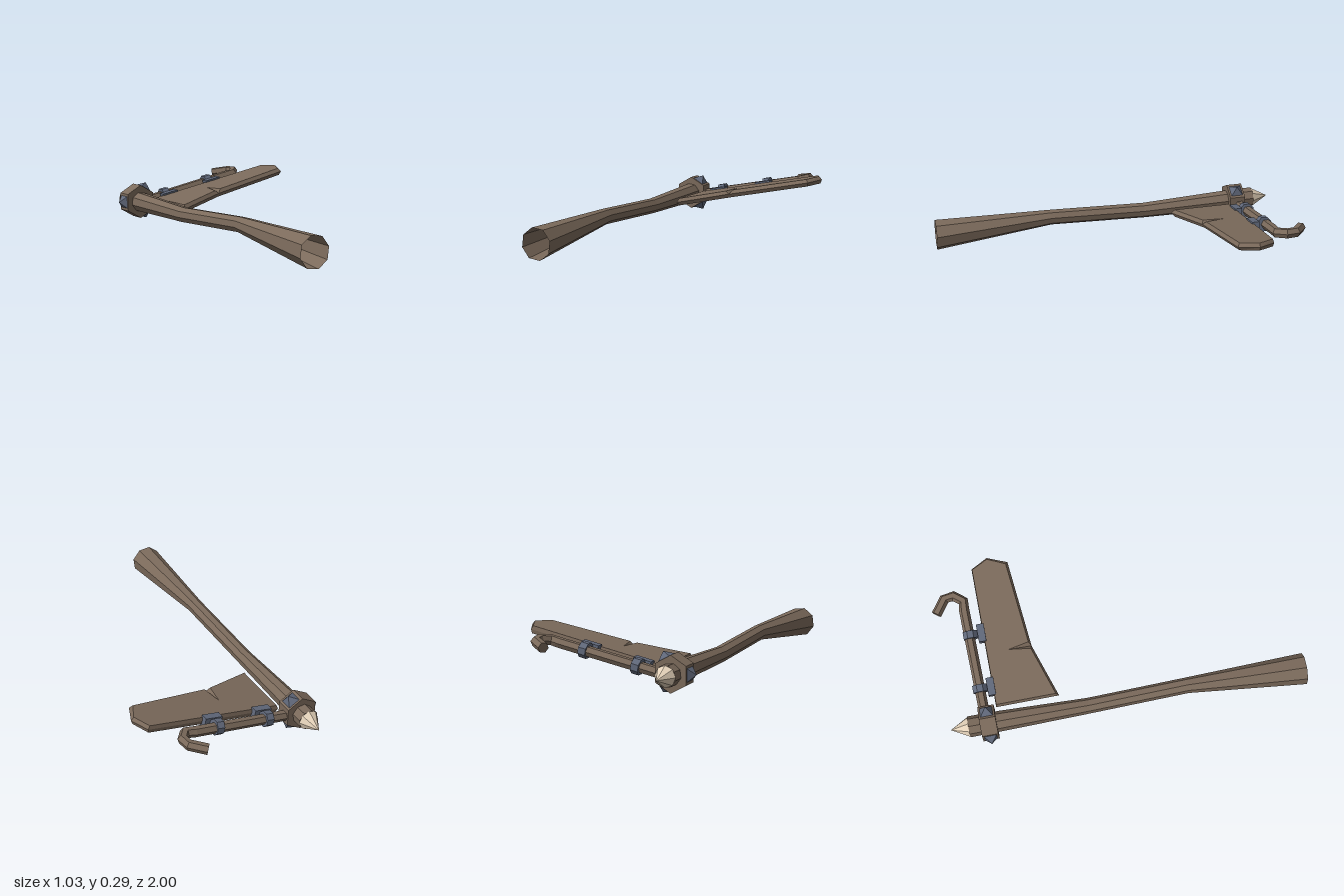
import * as THREE from 'three';

const mat = (name, color) => {
  const m = new THREE.MeshStandardMaterial({ color, flatShading: true, side: THREE.DoubleSide });
  m.name = name;
  return m;
};

// Flat-shaded geometry from a list of corner points, three per triangle
function facets(points) {
  const g = new THREE.BufferGeometry().setFromPoints(points);
  g.computeVertexNormals();
  return g;
}

// Faceted tube through stations [x, y, z, radius]; the far end is capped
function loft(stations, sides, phase, capStart = false) {
  const c = stations.map(s => new THREE.Vector3(s[0], s[1], s[2]));
  const rings = c.map((p, i) => {
    const t = c[Math.min(i + 1, c.length - 1)].clone().sub(c[Math.max(i - 1, 0)]).setY(0).normalize();
    return Array.from({ length: sides }, (_, k) => {
      const a = phase + (k * 2 * Math.PI) / sides, r = stations[i][3];
      return new THREE.Vector3(p.x - t.z * r * Math.cos(a), p.y + r * Math.sin(a), p.z + t.x * r * Math.cos(a));
    });
  });
  const tri = [], n = c.length - 1;
  for (let k = 0; k < sides; k++) {
    const l = (k + 1) % sides;
    for (let i = 0; i < n; i++) {
      const [a, b] = [rings[i], rings[i + 1]];
      tri.push(a[k], b[k], b[l], a[k], b[l], a[l]);
    }
    tri.push(c[n], rings[n][k], rings[n][l]);
    if (capStart) tri.push(c[0], rings[0][l], rings[0][k]);
  }
  return facets(tri);
}

export function createModel() {
  const wood = mat('brown wood', 0x7b6a5b);
  const metal = mat('slate metal', 0x60687a);
  const bone = mat('pale bone', 0xe2d0b8);
  const model = new THREE.Group();
  model.name = 'poleTool';
  const add = (parent, name, geo, material, x = 0, y = 0, z = 0) => {
    const m = new THREE.Mesh(geo, material);
    m.name = name;
    m.position.set(x, y, z);
    parent.add(m);
    return m;
  };

  // Wavy eight-sided pole, hollow at the flared end
  add(model, 'pole', loft([
    [-0.418, 0.088, 1, 0.088],
    [-0.4, 0.132, 0.33, 0.044],
    [-0.404, 0.111, -0.23, 0.044],
    [-0.4, 0.122, -0.72, 0.057],
    [-0.4, 0.125, -0.9, 0.058],
  ], 8, Math.PI / 12), wood);

  // Pointed tip
  add(model, 'tip', new THREE.ConeGeometry(0.057, 0.1, 8).rotateX(-Math.PI / 2), bone, -0.4, 0.125, -0.95);

  // Hexagonal collar with a spike on every other face
  const head = new THREE.Group();
  head.name = 'collar';
  head.position.set(-0.398, 0.123, -0.79);
  model.add(head);
  add(head, 'collarRing', new THREE.CylinderGeometry(0.098, 0.098, 0.09, 6)
    .rotateY(Math.PI / 6).rotateX(Math.PI / 2).rotateZ(0), wood).geometry.computeBoundingBox();
  // keep a corner of the hexagon pointing up
  const box = head.children[0].geometry.boundingBox;
  if (box.max.y < box.max.x) head.children[0].rotation.z = Math.PI / 6;
  for (const deg of [60, 180, 300]) {
    const spike = new THREE.ConeGeometry(0.05, 0.038, 4).rotateY(Math.PI / 4).rotateZ(-Math.PI / 2).translate(0.103, 0, 0);
    add(head, 'spike', spike, metal).rotation.z = THREE.MathUtils.degToRad(deg);
  }

  // Side arm, tilted upwards; sx converts a level x into a distance along it
  const arm = new THREE.Group();
  arm.name = 'arm';
  arm.position.set(-0.4, 0.1, 0);
  arm.rotation.z = Math.atan(0.19);
  model.add(arm);
  const sx = x => (x + 0.4) * 1.018;

  // Hooked rod
  add(arm, 'hookedRod', loft([
    [-0.36, -0.802], [0.24, -0.814], [0.295, -0.81], [0.333, -0.86], [0.326, -0.912], [0.248, -0.97],
  ].map(([x, z]) => [sx(x), 0.003, z, 0.029]), 6, 0, true), wood);

  // Blade: wedge-edged plate with a V-shaped nick in its upper face
  const P = (x, y, z) => new THREE.Vector3(sx(x), y, z);
  const ring = (y, d, nick) => [
    nick ? P(-0.018, y, -0.61) : P(-0.018, y, -0.48 - d),
    nick ? P(-0.034, y, -0.475 - d) : P(-0.018, y, -0.48 - d),
    P(-0.315 + d, y, -0.38 - 1.4 * d),
    P(-0.315 + d, y, -0.734 + d * 0.3),
    P(0.463 - d * 0.6, y, -0.734 + d * 0.3),
    P(0.512 - d, y, -0.639),
    P(0.468 - d, y, -0.528 - d),
    nick ? P(0.004, y, -0.482 - d) : P(-0.018, y, -0.48 - d),
  ];
  const top = ring(0.021, 0.012, true), mid = ring(0, 0, false), low = ring(-0.021, 0.012, false);
  const tri = [];
  const push = (a, b, c) => {
    const area = b.clone().sub(a).cross(c.clone().sub(a)).length();
    if (area > 1e-9) tri.push(a, b, c);
  };
  for (let i = 0; i < 8; i++) {
    const j = (i + 1) % 8;
    for (const [u, v] of [[top, mid], [mid, low]]) {
      push(u[i], v[j], v[i]);
      push(u[i], u[j], v[j]);
    }
    push(top[0], top[j], top[i]);
    push(low[0], low[i], low[j]);
  }
  add(arm, 'blade', facets(tri), wood);

  // Clamps holding the blade to the rod
  for (const x of [-0.2, 0.1]) {
    const clamp = new THREE.Group();
    clamp.name = 'clamp';
    clamp.position.x = sx(x);
    arm.add(clamp);
    add(clamp, 'clampRing', new THREE.CylinderGeometry(0.044, 0.044, 0.042, 8)
      .rotateY(Math.PI / 8).rotateZ(Math.PI / 2), metal, 0, 0.003, -0.803);
    add(clamp, 'clampNeck', new THREE.BoxGeometry(0.036, 0.04, 0.04), metal, 0, 0, -0.765);
    add(clamp, 'clampJaw', new THREE.BoxGeometry(0.1, 0.062, 0.042), metal, 0, 0, -0.742);
  }
  return model;
}
